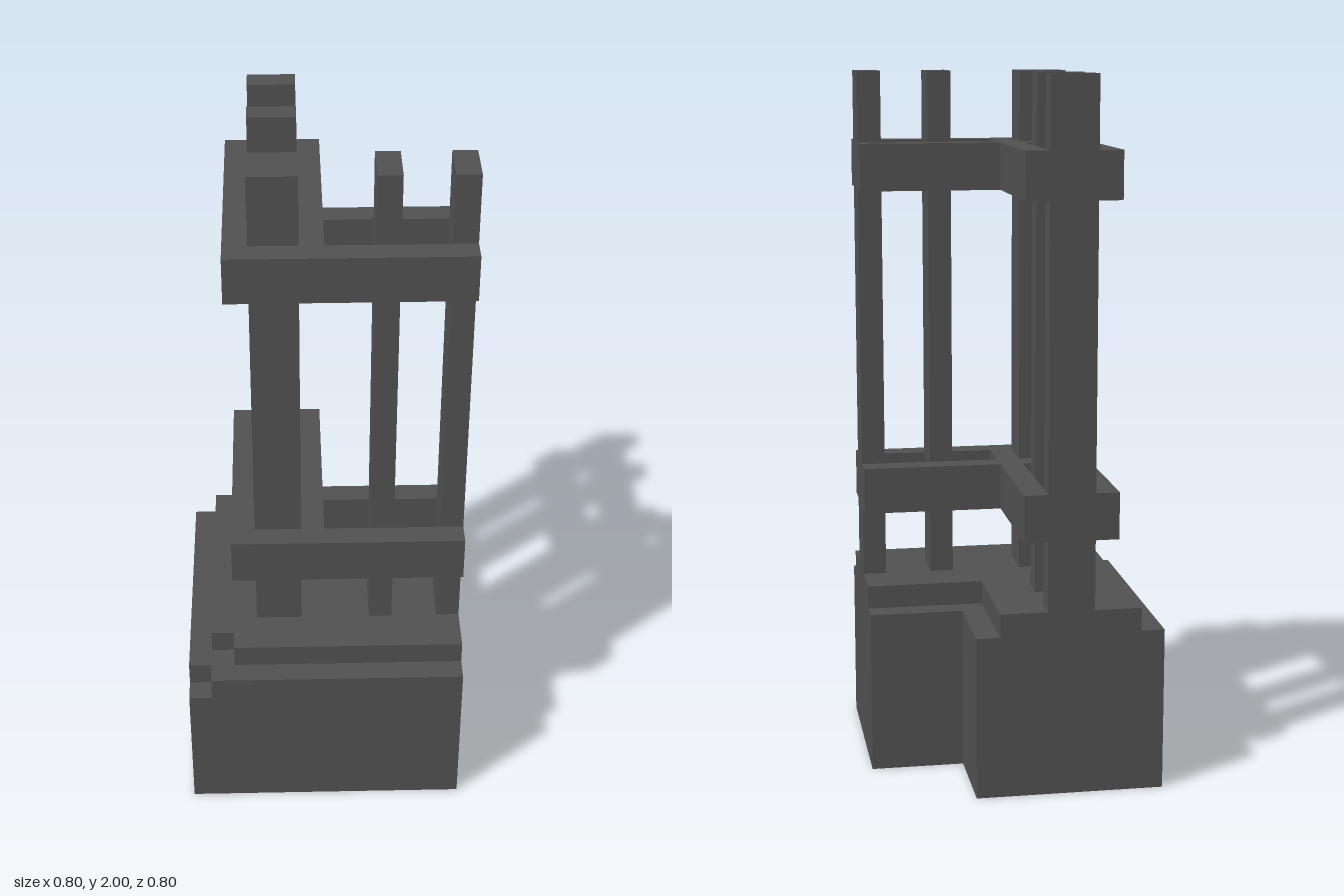
import * as THREE from 'three';

const U = 1 / 15; // one block unit

// Upright prism from an outline of [x, z] corners in block units
function prism(name, material, outline, y0, y1, holes = []) {
  const toPoints = (list) => list.map(([x, z]) => new THREE.Vector2(x * U, -z * U));
  const shape = new THREE.Shape(toPoints(outline));
  for (const hole of holes) shape.holes.push(new THREE.Path(toPoints(hole)));
  const geometry = new THREE.ExtrudeGeometry(shape, { depth: (y1 - y0) * U, bevelEnabled: false });
  geometry.rotateX(-Math.PI / 2);
  const mesh = new THREE.Mesh(geometry, material);
  mesh.name = name;
  mesh.position.y = y0 * U;
  return mesh;
}

const rect = (x0, x1, z0, z1) => [[x0, z0], [x1, z0], [x1, z1], [x0, z1]];

// L-shaped outline; the outer corner can lose one block
function corner(outer, inner, notched) {
  const tip = notched
    ? [[-outer, outer - 1], [-outer + 1, outer - 1], [-outer + 1, outer]]
    : [[-outer, outer]];
  return [[-outer, -6], ...tip, [6, outer], [6, -inner], [inner, -inner], [inner, -6]];
}

export function createModel() {
  const group = new THREE.Group();
  group.name = 'cornerRailing';
  const stone = new THREE.MeshStandardMaterial({ color: 0x505050 });
  stone.name = 'dark stone';

  // Stepped corner base
  group.add(prism('base', stone, corner(6, 2, false), 0, 6));
  group.add(prism('baseRim', stone, corner(6, 2, true), 6, 7));
  group.add(prism('baseStep', stone, corner(5, 1, true), 7, 8));

  // Posts: one at the corner, a middle and an end post on each arm
  group.add(prism('cornerPost', stone, rect(-3, -1, 1, 3), 8, 30));
  for (const [name, start] of [['middlePost', 2], ['endPost', 5]]) {
    group.add(prism(name + 'Front', stone, rect(start, start + 1, 1, 3), 8, 30));
    group.add(prism(name + 'Side', stone, rect(-3, -1, -start - 1, -start), 8, 30));
  }

  // Paired rails clasping the posts on both sides
  const rails = [
    [-4, 4], [6, 4], [6, 3], [0, 3], [0, 1], [6, 1], [6, 0], [0, 0],
    [0, -6], [-1, -6], [-1, 0], [-3, 0], [-3, -6], [-4, -6],
  ];
  for (const [name, y] of [['lowerRails', 11], ['upperRails', 25]]) {
    group.add(prism(name, stone, rails, y, y + 2, [rect(-3, -1, 1, 3)]));
  }
  return group;
}
